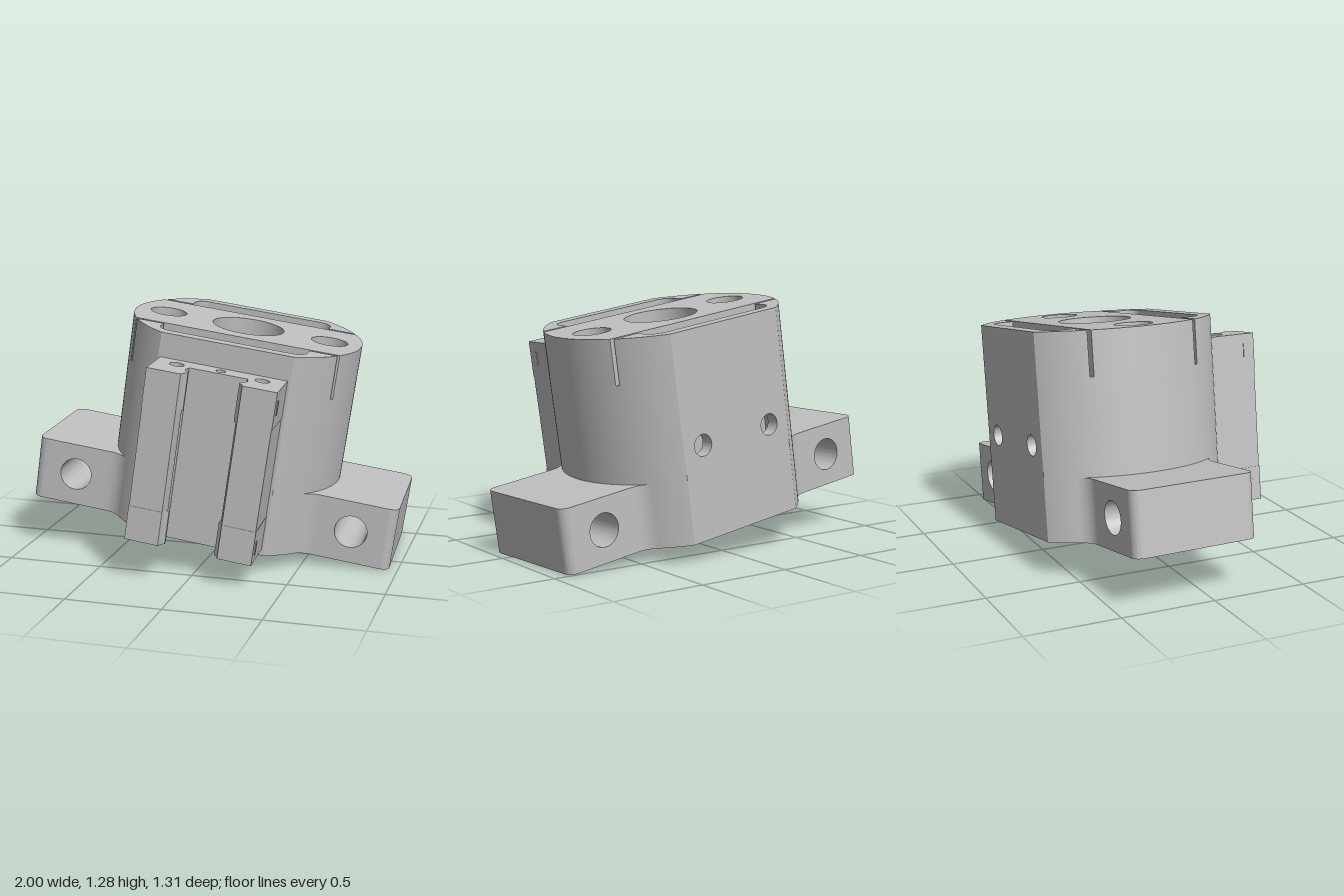
import * as THREE from 'three';
import { toCreasedNormals } from 'three/addons/utils/BufferGeometryUtils.js';

const R = 0.61;        // body radius
const FLAT = 0.505;    // distance of the front and back flats
const H = 1.06;        // body height
const LUG_H = 0.33, LUG_Z = 0.337;
const FLOOR = 0.36;    // pocket floor
const SLIT = 0.83;     // bottom of the slits
const SLAB = 0.285;    // half depth of the centre block

export function createModel() {
  const steel = new THREE.MeshStandardMaterial({ color: 0xc0c0c0 });
  steel.name = 'light steel grey';
  const model = new THREE.Group();
  const tilted = new THREE.Group();
  tilted.name = 'tiltedAssembly';
  model.add(tilted);

  const add = (name, geometry) => {
    const mesh = new THREE.Mesh(toCreasedNormals(geometry, 0.5), steel);
    mesh.name = name;
    tilted.add(mesh);
  };
  const circle = (x, y, r) => new THREE.Path().absarc(x, y, r, 0, Math.PI * 2, false);
  const poly = (points) => new THREE.Shape(points.map(([x, y]) => new THREE.Vector2(x, y)));
  const mirrored = (shape, sx, sy) =>
    new THREE.Shape(shape.getPoints(24).map((p) => new THREE.Vector2(p.x * sx, p.y * sy)));
  // Extrude upwards; shape y points to the back (-z)
  const upward = (name, shape, y0, y1) => {
    const g = new THREE.ExtrudeGeometry(shape, { depth: y1 - y0, bevelEnabled: false, curveSegments: 32 });
    add(name, g.rotateX(-Math.PI / 2).translate(0, y0, 0));
  };
  // Extrude towards the front
  const forward = (name, shape, z0, z1) => {
    const g = new THREE.ExtrudeGeometry(shape, { depth: z1 - z0, bevelEnabled: false, curveSegments: 32 });
    add(name, g.translate(0, 0, z0));
  };
  const bores = (shape, centre, side) => {
    shape.holes.push(circle(0, 0, centre), circle(-0.44, 0, side), circle(0.44, 0, side));
    return shape;
  };

  // Base with a wide counterbore, flaring into the roots of the two lugs
  const a = Math.asin(FLAT / R), b = Math.asin(0.39 / R);
  const bx = R * Math.cos(b);
  const base = new THREE.Shape();
  base.absarc(0, 0, R, -a, -b, false);
  base.quadraticCurveTo(0.51, -LUG_Z, 0.57, -LUG_Z);
  base.lineTo(0.6, -LUG_Z);
  base.lineTo(0.6, LUG_Z);
  base.lineTo(0.57, LUG_Z);
  base.quadraticCurveTo(0.51, LUG_Z, bx, 0.39);
  base.absarc(0, 0, R, b, a, false);
  base.absarc(0, 0, R, Math.PI - a, Math.PI - b, false);
  base.quadraticCurveTo(-0.51, LUG_Z, -0.57, LUG_Z);
  base.lineTo(-0.6, LUG_Z);
  base.lineTo(-0.6, -LUG_Z);
  base.lineTo(-0.57, -LUG_Z);
  base.quadraticCurveTo(-0.51, -LUG_Z, -bx, -0.39);
  base.absarc(0, 0, R, Math.PI + b, Math.PI + a, false);
  upward('base', bores(base, 0.29, 0.08), 0, LUG_H);

  // Cylinder cut by two parallel flats at distance z
  const drum = (z) => {
    const t = Math.asin(z / R);
    const s = new THREE.Shape();
    s.absarc(0, 0, R, -t, t, false);
    s.absarc(0, 0, R, Math.PI - t, Math.PI + t, false);
    return s;
  };
  upward('pocketFloor', bores(drum(FLAT), 0.19, 0.07), LUG_H, FLOOR);
  upward('centreBlock', bores(drum(SLAB), 0.19, 0.07), FLOOR, SLIT);
  upward('centreBlockTop', bores(drum(SLAB), 0.19, 0.097), SLIT, H);

  // Corner between pocket, flat and round side
  const corner = (inner) => {
    const s = new THREE.Shape();
    s.absarc(0, 0, R, Math.asin(inner / R), a, false);
    s.lineTo(0.3, FLAT);
    s.lineTo(0.3, 0.435);
    s.lineTo(0.315, 0.435);
    s.absarc(0.315, 0.365, 0.07, Math.PI / 2, 0, true);
    s.lineTo(0.385, inner);
    return s;
  };
  for (const sx of [-1, 1]) for (const sz of [-1, 1]) {
    upward('bodyCorner', mirrored(corner(SLAB), sx, sz), FLOOR, SLIT);
    upward('slitCorner', mirrored(corner(SLAB + 0.018), sx, sz), SLIT, H);
  }

  // Thin walls outside the pockets, the back one drilled twice
  const wall = () => poly([[-0.3, FLOOR], [0.3, FLOOR], [0.3, H], [-0.3, H]]);
  forward('frontWall', wall(), 0.435, FLAT);
  const backWall = wall();
  backWall.holes.push(circle(-0.22, 0.48, 0.055), circle(0.22, 0.48, 0.055));
  forward('backWall', backWall, -FLAT, -0.435);

  // Mounting lugs: drilled block and rounded end
  for (const s of [-1, 1]) {
    const lug = poly([[0.6 * s, 0], [0.925 * s, 0], [0.925 * s, LUG_H], [0.6 * s, LUG_H]]);
    lug.holes.push(circle(0.75 * s, 0.167, 0.085));
    forward('mountingLug', lug, -LUG_Z, LUG_Z);
    const end = new THREE.Shape();
    end.moveTo(0.925, -LUG_Z);
    end.absarc(0.925, -LUG_Z + 0.05, 0.05, -Math.PI / 2, 0, false);
    end.absarc(0.925, LUG_Z - 0.05, 0.05, 0, Math.PI / 2, false);
    upward('lugEnd', mirrored(end, s, 1), 0, LUG_H);
  }

  // Guide carriage: U profile with a ball groove, open to the front
  const profile = (w, front, lip) => {
    const half = [[w, FLAT + 0.005], [w, front], [0.155, front], [0.145, 0.74], [lip, 0.725],
      [lip, 0.705], [0.15, 0.69], [0.16, 0.66], [0.15, 0.635], [0.15, 0.62]];
    const other = half.map(([x, z]) => [-x, z]).reverse();
    return poly([...half, ...other].map(([x, z]) => [x, -z]));
  };
  upward('carriage', profile(0.328, 0.768, 0.14), 0.215, 0.74);
  for (const [y0, y1] of [[0.035, 0.215], [0.74, 0.935]]) {
    const cap = profile(0.33, 0.77, 0.13);
    cap.holes.push(circle(-0.22, -0.6, 0.037), circle(0.22, -0.6, 0.037), circle(0, -0.565, 0.025));
    upward('carriageEndCap', cap, y0, y1);
  }
  // Small latch plates on the sides of the end caps
  for (const s of [-1, 1]) for (const y of [0.112, 0.845]) {
    add('latchPlate', new THREE.BoxGeometry(0.008, 0.075, 0.02).translate(0.33 * s, y, 0.715));
  }

  // Lean of the whole assembly
  tilted.rotation.set(0, THREE.MathUtils.degToRad(2.8), THREE.MathUtils.degToRad(-8.19), 'ZYX');
  tilted.position.set(-0.026, 0.142, -0.136);
  return model;
}
